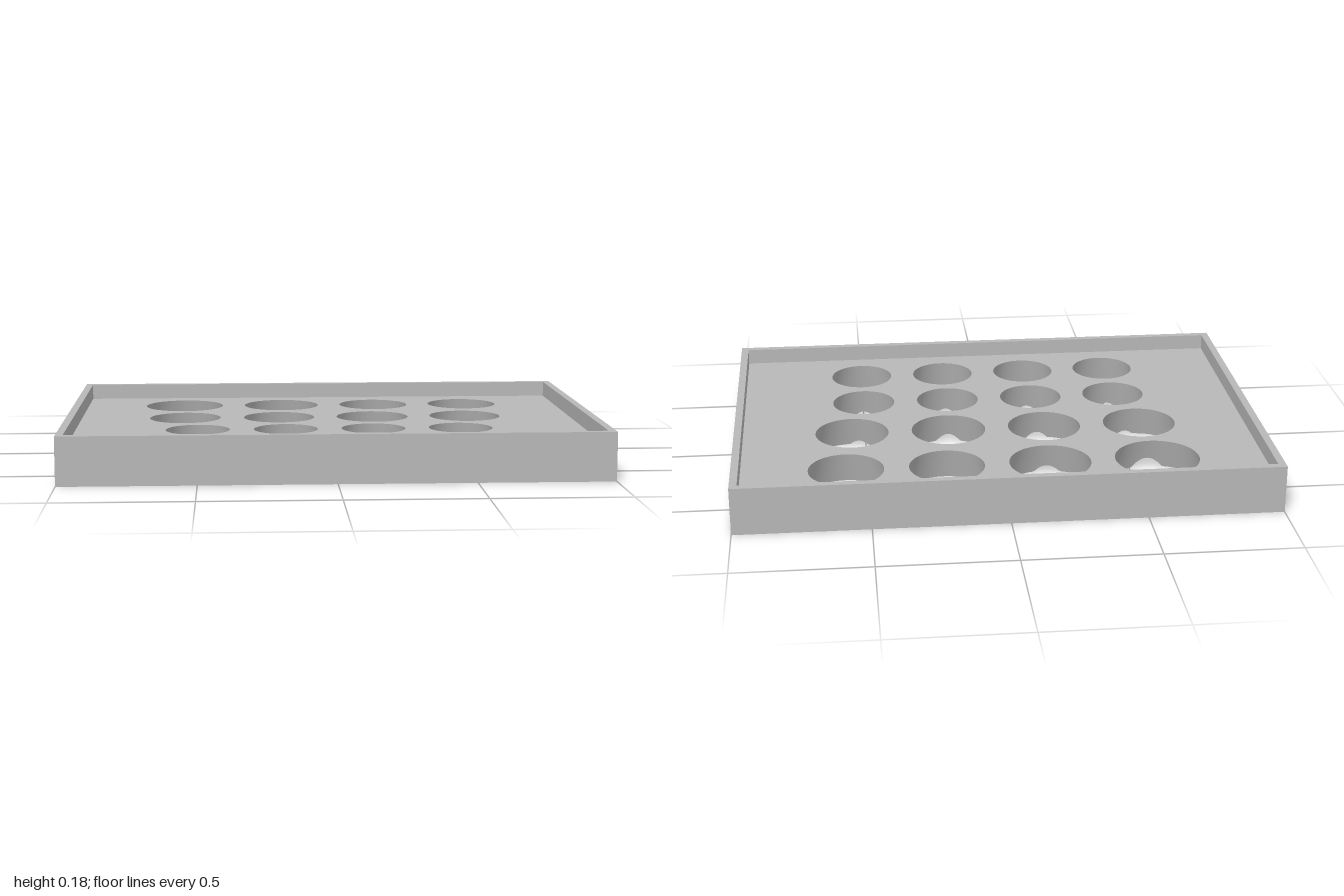
import * as THREE from 'three';

const W = 1, D = 0.71, H = 0.18, RIM = 0.028, FLOOR = 0.12, FLARE = 1.22;

// Four columns of holes, each listed back to front as [x, z, top radius]
const columns = [
  [[-0.573, -0.452, 0.158], [-0.562, -0.11, 0.14], [-0.507, 0.197, 0.122], [-0.507, 0.485, 0.122]],
  [[-0.171, -0.452, 0.152], [-0.189, -0.11, 0.14], [-0.171, 0.197, 0.122], [-0.171, 0.485, 0.122]],
  [[0.213, -0.452, 0.14], [0.183, -0.11, 0.142], [0.165, 0.197, 0.122], [0.165, 0.485, 0.122]],
  [[0.585, -0.452, 0.14], [0.555, -0.11, 0.14], [0.501, 0.197, 0.122], [0.501, 0.485, 0.122]],
];

const radiusAt = (hole, t) => hole[2] * (1 + (FLARE - 1) * t);

function rectangle(w, d, PathType) {
  return new PathType([[-w, -d], [w, -d], [w, d], [-w, d]].map(p => new THREE.Vector2(...p)));
}

// Where two flared holes cross on the underside: [left point, right point]
function crossing(a, b) {
  const ra = radiusAt(a, 1), rb = radiusAt(b, 1);
  const dx = b[0] - a[0], dz = b[1] - a[1], d = Math.hypot(dx, dz);
  const m = (d * d + ra * ra - rb * rb) / (2 * d);
  const h = Math.sqrt(Math.max(0, ra * ra - m * m));
  const x = a[0] + dx * m / d, z = a[1] + dz * m / d;
  return [[x - dz * h / d, z + dx * h / d], [x + dz * h / d, z - dx * h / d]];
}

// Merged outline of one column on the underside
function columnOutline(holes) {
  const path = new THREE.Path(), last = holes.length - 1;
  const cross = holes.slice(1).map((b, i) => crossing(holes[i], b));
  const angle = (hole, p) => Math.atan2(p[1] - hole[1], p[0] - hole[0]);
  const arc = (i, from, to) =>
    path.absarc(holes[i][0], holes[i][1], radiusAt(holes[i], 1), from, to, false);
  for (let i = 0; i <= last; i++) {
    arc(i, i ? angle(holes[i], cross[i - 1][1]) : -Math.PI / 2,
      i < last ? angle(holes[i], cross[i][1]) : Math.PI / 2);
  }
  for (let i = last; i >= 0; i--) {
    arc(i, i < last ? angle(holes[i], cross[i][0]) : Math.PI / 2,
      i ? angle(holes[i], cross[i - 1][0]) : Math.PI * 1.5);
  }
  return path;
}

// Conical wall of one hole, cut off where it breaks into a neighbouring hole
function holeWall(hole, neighbours) {
  const n = 128, pos = [], index = [];
  for (let i = 0; i < n; i++) {
    const c = Math.cos(i / n * Math.PI * 2), s = Math.sin(i / n * Math.PI * 2);
    const point = t => [hole[0] + c * radiusAt(hole, t), FLOOR * (1 - t), hole[1] + s * radiusAt(hole, t)];
    const clear = t => neighbours.every(o => {
      const p = point(t);
      return Math.hypot(p[0] - o[0], p[2] - o[1]) >= radiusAt(o, t);
    });
    let end = 1;
    if (!clear(1)) {
      let lo = 0, hi = 1;
      for (let k = 0; k < 24; k++) {
        const mid = (lo + hi) / 2;
        if (clear(mid)) lo = mid; else hi = mid;
      }
      end = lo;
    }
    pos.push(...point(0), ...point(end));
    const a = i * 2, b = ((i + 1) % n) * 2;
    index.push(a, a + 1, b, b, a + 1, b + 1);
  }
  const geo = new THREE.BufferGeometry();
  geo.setAttribute('position', new THREE.Float32BufferAttribute(pos, 3));
  geo.setIndex(index);
  geo.computeVertexNormals();
  return geo;
}

export function createModel() {
  const model = new THREE.Group();
  model.name = 'holedTray';
  const grey = new THREE.MeshStandardMaterial({ color: 0xb8b8b8 });
  grey.name = 'grey';
  const add = (name, geometry, parent = model) => {
    const mesh = new THREE.Mesh(geometry, grey);
    mesh.name = name;
    parent.add(mesh);
  };

  // Thin raised rim around the tray
  const rim = rectangle(W, D, THREE.Shape);
  rim.holes.push(rectangle(W - RIM, D - RIM, THREE.Path));
  add('rim', new THREE.ExtrudeGeometry(rim, { depth: H, bevelEnabled: false }).rotateX(-Math.PI / 2));

  // Recessed floor with round openings
  const floor = rectangle(W - RIM, D - RIM, THREE.Shape);
  for (const [x, z, r] of columns.flat()) {
    floor.holes.push(new THREE.Path().absarc(x, -z, r, 0, Math.PI * 2, false));
  }
  add('floor', new THREE.ShapeGeometry(floor, 64).rotateX(-Math.PI / 2).translate(0, FLOOR, 0));

  // Underside, where the flared holes of a column run together
  const underside = rectangle(W - RIM, D - RIM, THREE.Shape);
  underside.holes.push(...columns.map(columnOutline));
  add('underside', new THREE.ShapeGeometry(underside, 64).rotateX(Math.PI / 2));

  // Flared hole walls
  const walls = new THREE.Group();
  walls.name = 'holeWalls';
  model.add(walls);
  for (const column of columns) {
    for (const hole of column) {
      add('holeWall', holeWall(hole, column.filter(o => o !== hole)), walls);
    }
  }
  return model;
}
